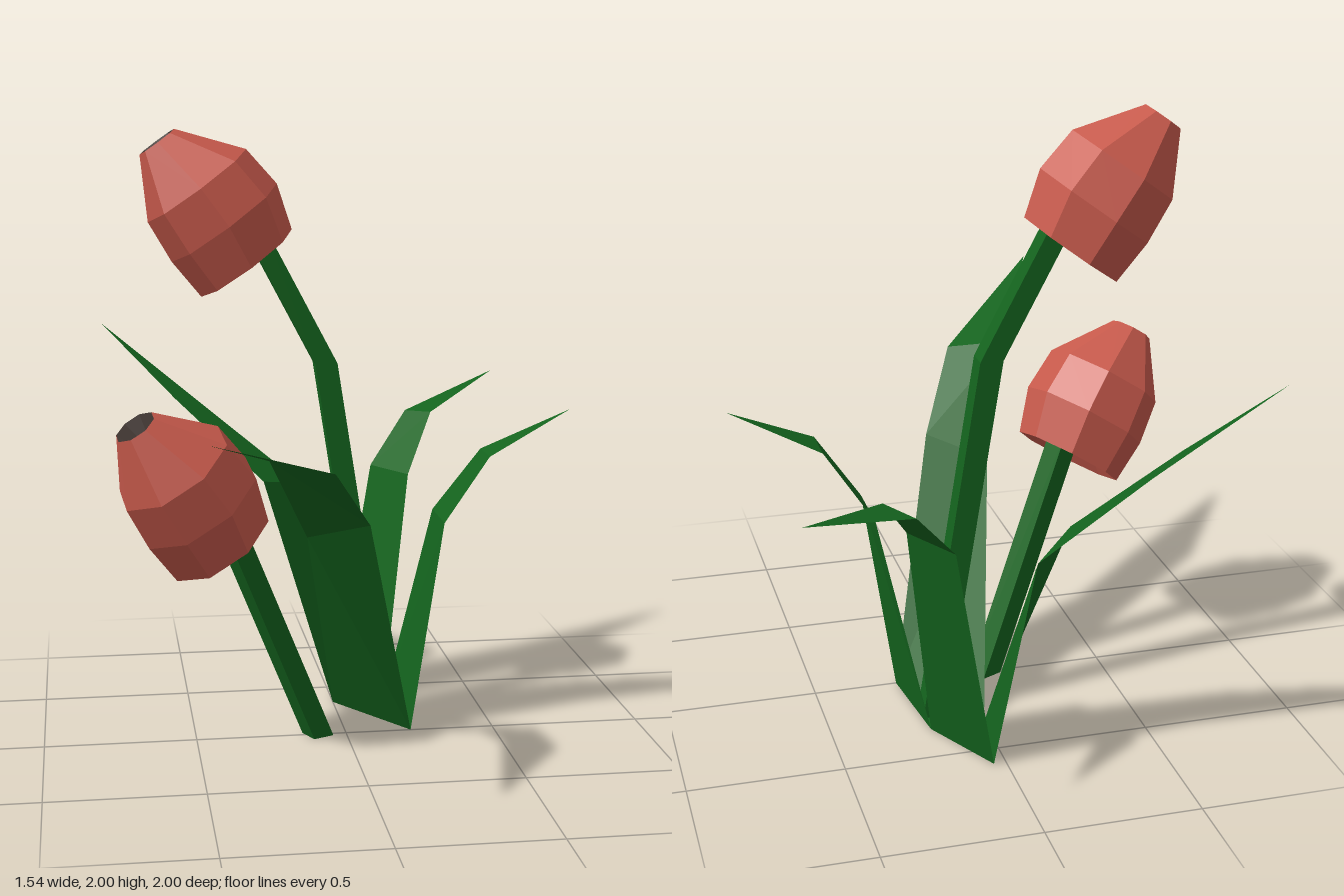
import * as THREE from 'three';

const material = (color) =>
  new THREE.MeshStandardMaterial({ color, flatShading: true, side: THREE.DoubleSide });
const green = material(0x14641e);
const red = material(0xc85a4c);
const dark = material(0x4a3f3a);

function mesh(name, geometry, mat) {
  const m = new THREE.Mesh(geometry, mat);
  m.name = name;
  return m;
}

// Joins equal-sized cross-sections with quads; closed wraps each section round
function loft(rings, closed) {
  const n = rings[0].length;
  const index = [];
  for (let r = 0; r < rings.length - 1; r++) {
    for (let i = 0; i < (closed ? n : n - 1); i++) {
      const j = (i + 1) % n;
      const a = r * n + i, b = r * n + j, c = a + n, d = b + n;
      index.push(a, c, b, b, c, d);
    }
  }
  if (closed) {
    const t = (rings.length - 1) * n;
    index.push(0, 1, 2, 0, 2, 3, t, t + 2, t + 1, t, t + 3, t + 2);
  }
  const g = new THREE.BufferGeometry();
  g.setAttribute('position', new THREE.Float32BufferAttribute(rings.flat(2), 3));
  g.setIndex(index);
  g.computeVertexNormals();
  return g;
}

// Square stem with level cross-sections along a path
function stem(path, turn) {
  const rings = path.map(([x, y, z]) =>
    [0, 1, 2, 3].map((k) => {
      const a = Math.PI / 4 + k * Math.PI / 2 - turn;
      return [x + 0.053 * Math.cos(a), y, z + 0.053 * Math.sin(a)];
    }));
  return mesh('stem', loft(rings, true), green);
}

// Eight-sided flower head with a hollow underside and a small dark opening
function flowerHead(position, turn) {
  const lathe = (pts) => {
    const g = new THREE.LatheGeometry(pts.map(([r, y]) => new THREE.Vector2(r, y)), 8);
    const p = g.attributes.position;
    // the belly leans slightly to one side
    for (let i = 0; i < p.count; i++) {
      if (p.getY(i) > 0.13 && p.getY(i) < 0.35) p.setX(i, p.getX(i) + 0.02);
    }
    return g;
  };
  const head = new THREE.Group();
  head.name = 'flowerHead';
  head.add(
    mesh('petals', lathe([[0, 0.1], [0.186, 0], [0.215, 0.15], [0.2, 0.3], [0.07, 0.49]]), red),
    mesh('flowerOpening', lathe([[0.07, 0.49], [0.03, 0.42], [0, 0.42]]), dark));
  head.rotation.set(0, turn, THREE.MathUtils.degToRad(36), 'YXZ');
  head.position.set(...position);
  return head;
}

export function createModel() {
  const model = new THREE.Group();
  model.name = 'tulips';

  // Flowers
  const flowers = [
    { path: [[0.15, 0, -0.22], [-0.04, 1.225, -0.22], [-0.29, 1.7, -0.22]],
      head: [-0.3, 1.56, -0.22], turn: 0 },
    { path: [[-0.095, 0, 0], [-0.43, 0.84, 0.15]],
      head: [-0.43, 0.71, 0.15], turn: THREE.MathUtils.degToRad(25) },
  ];
  flowers.forEach(({ path, head, turn }, i) => {
    const flower = new THREE.Group();
    flower.name = i ? 'shortFlower' : 'tallFlower';
    flower.add(stem(path, turn), flowerHead(head, turn));
    model.add(flower);
  });

  // Leaves share the four corners of the base
  const front = [0.22, 0, 0], right = [0, 0, -0.33];
  const left = [0.18, 0, -0.33], back = [0.04, 0, -0.59];
  const leaves = {
    frontLeaf: [[right, front], [[-0.15, 0.72, 0.18], [0.035, 0.78, 0.3]],
      [[-0.3, 1.03, 0.48], [-0.11, 1.0, 0.56]], [-0.52, 1.18, 1]],
    leftLeaf: [[front, left], [[0.33, 0.71, 0], [0.33, 0.71, -0.22]],
      [[0.48, 0.93, 0], [0.48, 0.93, -0.15]], [0.77, 1.07, -0.08]],
    backLeftLeaf: [[left, back], [[0.29, 0.78, -0.48], [0.185, 0.78, -0.67]],
      [[0.405, 0.97, -0.67], [0.33, 0.96, -0.78]], [0.7, 1.07, -1]],
    backRightLeaf: [[back, right], [[-0.07, 0.72, -0.67], [-0.22, 0.76, -0.52]],
      [[-0.4, 0.99, -0.74], [-0.52, 1.04, -0.67]], [-0.77, 1.29, -0.85]],
  };
  for (const [name, [base, low, high, tip]] of Object.entries(leaves)) {
    model.add(mesh(name, loft([base, low, high, [tip, tip]], false), green));
  }

  // Underside closing the leaf base
  model.add(mesh('leafBase', loft([[right, front], [back, left]], false), green));
  return model;
}
